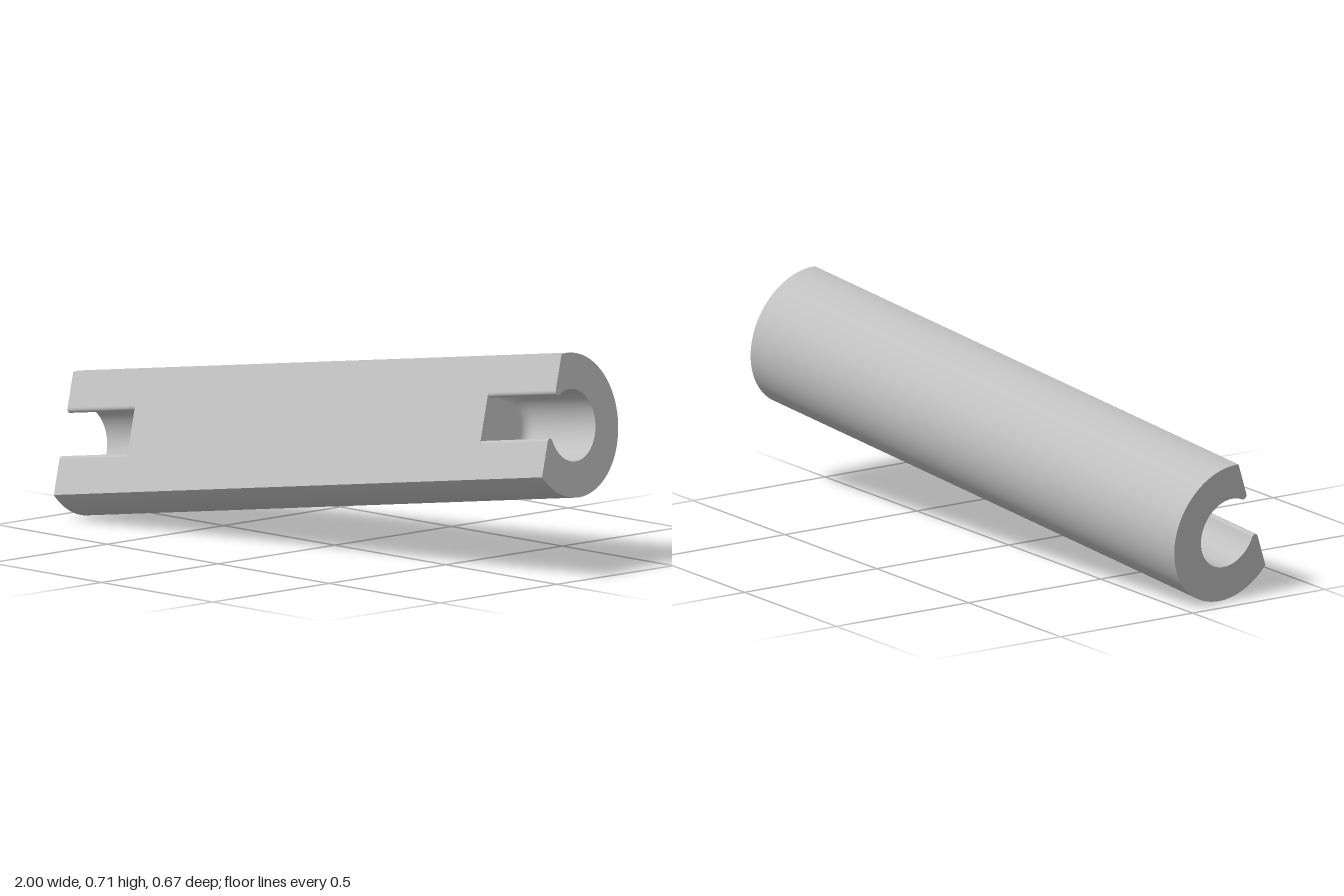
import * as THREE from 'three';

const R = 0.2255;      // shaft radius
const FLAT = 0.106;    // distance from axis to the milled flat
const HALF = 0.975;    // half length of the shaft
const BORE = 0.113;    // bore radius
const LIP = 0.012;     // rounding where bore meets flat
const DEPTH = 0.27;    // bore depth
const FILLET = 0.03;   // rounding at the bore floor
const CHORD = Math.sqrt(R * R - FLAT * FLAT);
const LIP_X = Math.sqrt((BORE + LIP) ** 2 - (FLAT - LIP) ** 2);

const at = (r, a, x = 0, y = 0) => new THREE.Vector2(x + r * Math.cos(a), y + r * Math.sin(a));

// Outer arc, counterclockwise from the left edge of the flat to the right edge
function outerArc() {
  const a = Math.asin(FLAT / R), pts = [];
  for (let i = 0; i <= 96; i++) pts.push(at(R, Math.PI - a + (Math.PI + 2 * a) * i / 96));
  return pts;
}

// Open bore outline from right lip, around the bottom, to left lip
function boreProfile(inset) {
  const tangent = Math.atan2(FLAT - LIP, LIP_X), half = [];
  for (let i = 0; i < 10; i++) {
    half.push(at(LIP, Math.PI / 2 + (Math.PI / 2 + tangent) * i / 10, LIP_X, FLAT - LIP));
  }
  for (let i = 0; i <= 32; i++) {
    const w = THREE.MathUtils.smoothstep(i, 0, 8);
    half.push(at(BORE - inset * w, tangent - (Math.PI / 2 + tangent) * i / 32));
  }
  const mirrored = half.slice(0, -1).reverse().map(p => new THREE.Vector2(-p.x, p.y));
  return [...half, ...mirrored];
}

// Smooth skin through equal-length outlines placed at rising z
function loft(rings) {
  const n = rings[0].pts.length, pos = [], idx = [];
  rings.forEach(({ pts, z }) => pts.forEach(p => pos.push(p.x, p.y, z)));
  for (let k = 0; k < rings.length - 1; k++) {
    for (let i = 0; i < n - 1; i++) {
      const a = k * n + i, b = a + 1, c = b + n, d = a + n;
      idx.push(a, b, c, a, c, d);
    }
  }
  const g = new THREE.BufferGeometry();
  g.setAttribute('position', new THREE.Float32BufferAttribute(pos, 3));
  g.setIndex(idx);
  g.computeVertexNormals();
  return g;
}

export function createModel() {
  const model = new THREE.Group();
  model.name = 'slottedShaft';
  const steel = new THREE.MeshStandardMaterial({ color: 0xc0c0c0 });
  steel.name = 'steelGrey';

  const shaft = new THREE.Group();
  shaft.name = 'shaft';
  model.add(shaft);
  const add = (parent, name, geometry) => {
    const mesh = new THREE.Mesh(geometry, steel);
    mesh.name = name;
    parent.add(mesh);
    return mesh;
  };

  // Round body
  const arc = outerArc();
  add(shaft, 'roundBody', loft([{ pts: arc, z: -HALF }, { pts: arc, z: HALF }]));

  // Milled flat with a notch at each end
  const inner = HALF - DEPTH;
  const flat = new THREE.Shape([
    [-CHORD, -HALF], [-LIP_X, -HALF], [-LIP_X, -inner], [LIP_X, -inner], [LIP_X, -HALF], [CHORD, -HALF],
    [CHORD, HALF], [LIP_X, HALF], [LIP_X, inner], [-LIP_X, inner], [-LIP_X, HALF], [-CHORD, HALF],
  ].map(([x, y]) => new THREE.Vector2(x, y)));
  add(shaft, 'milledFlat', new THREE.ShapeGeometry(flat).rotateX(-Math.PI / 2)).position.y = FLAT;

  // Two ends, each with an open-sided blind bore
  for (const side of [1, -1]) {
    const end = new THREE.Group();
    end.name = side > 0 ? 'leftEnd' : 'rightEnd';
    end.position.z = side * HALF;
    if (side < 0) end.rotation.y = Math.PI;
    shaft.add(end);

    add(end, 'endFace', new THREE.ShapeGeometry(new THREE.Shape([...arc, ...boreProfile(0)])));

    const rings = [];
    for (let k = 0; k <= 8; k++) {
      const a = k / 8 * Math.PI / 2;
      rings.push({ pts: boreProfile(FILLET * (1 - Math.sin(a))), z: -DEPTH + FILLET * (1 - Math.cos(a)) });
    }
    rings.push({ pts: boreProfile(0), z: 0 });
    add(end, 'boreWall', loft(rings));
    add(end, 'boreFloor', new THREE.ShapeGeometry(new THREE.Shape(boreProfile(FILLET)))).position.z = -DEPTH;
  }

  // Tilt: local z runs along the shaft, local y out of the flat
  const axis = new THREE.Vector3(1.914, 0.26, -0.273).normalize();
  const across = new THREE.Vector3(-0.07, 0.36, -0.15);
  const normal = new THREE.Vector3().crossVectors(axis, across).normalize();
  across.crossVectors(normal, axis);
  shaft.quaternion.setFromRotationMatrix(new THREE.Matrix4().makeBasis(across, normal, axis));
  shaft.position.set(0, 0.3535, 0.027);
  return model;
}
